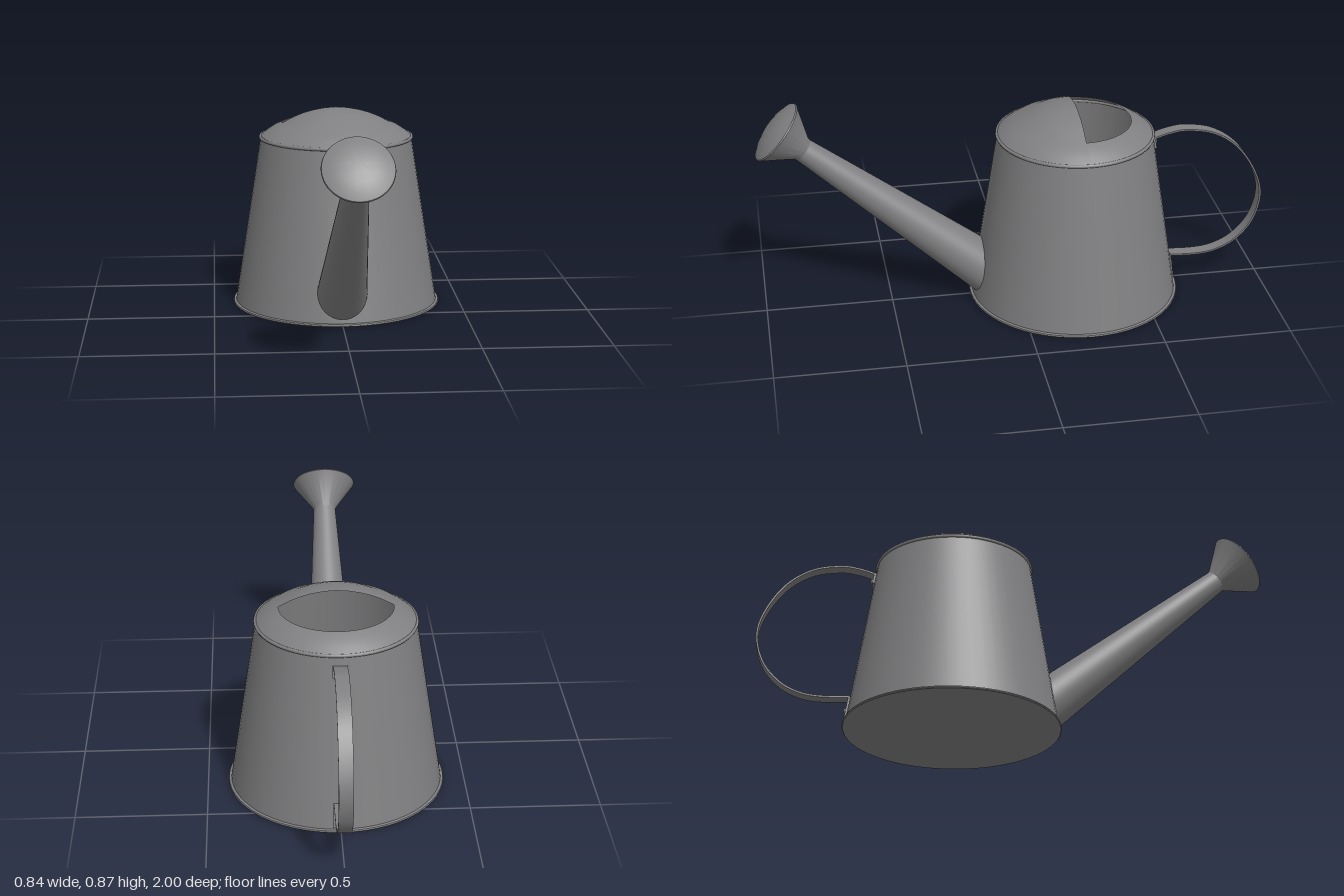
import * as THREE from 'three';
import { toCreasedNormals } from 'three/addons/utils/BufferGeometryUtils.js';

const BODY_Z = -0.235;
const SEG = 56;
const metal = new THREE.MeshStandardMaterial({ color: 0x808082, side: THREE.DoubleSide });
metal.name = 'grey metal';

// Radius of the tapered wall at height y
const wallRadius = (y) => 0.41 - (0.105 * y) / 0.68;

function part(name, geometry, parent) {
  const mesh = new THREE.Mesh(geometry, metal);
  mesh.name = name;
  parent.add(mesh);
  return mesh;
}

function lathe(points, start = 0, length = Math.PI * 2, crease = 0.6) {
  const profile = points.map(([r, y]) => new THREE.Vector2(r, y));
  const segments = Math.round((SEG * length) / (Math.PI * 2));
  return toCreasedNormals(new THREE.LatheGeometry(profile, segments, start, length), crease);
}

// Flat strip of constant width following a path of [z, y] points
function strip(points, width, thickness) {
  const n = points.length;
  const side = (sign) => points.map((p, i) => {
    const t = points[Math.min(i + 1, n - 1)].clone().sub(points[Math.max(i - 1, 0)]).normalize();
    return new THREE.Vector2(p.x - sign * t.y * thickness / 2, p.y + sign * t.x * thickness / 2);
  });
  const shape = new THREE.Shape([...side(1), ...side(-1).reverse()]);
  const geometry = new THREE.ExtrudeGeometry(shape, { depth: width, bevelEnabled: false });
  geometry.rotateY(-Math.PI / 2).translate(width / 2, 0, 0);
  return toCreasedNormals(geometry, 0.5);
}

function createCan() {
  const can = new THREE.Group();
  can.name = 'can';
  can.position.z = BODY_Z;
  part('wall', lathe([[0.41, 0.01], [0.305, 0.68]]), can);
  part('base', lathe([[0, 0], [0.418, 0], [0.421, 0.004], [0.419, 0.009], [0.408, 0.012]]), can);
  const rim = part('topRim', new THREE.TorusGeometry(0.305, 0.007, 8, SEG), can);
  rim.rotation.x = Math.PI / 2;
  rim.position.y = 0.682;

  // Domed lid: complete in front, only an outer ring behind the filling hole
  const ring = [[0.307, 0.684], [0.28, 0.705], [0.25, 0.724], [0.218, 0.738]];
  const crown = [[0.17, 0.763], [0.13, 0.779], [0.09, 0.79], [0.045, 0.798], [0, 0.801]];
  part('lidFront', lathe([...ring, ...crown], -Math.PI / 2, Math.PI), can);
  part('lidBack', lathe(ring, Math.PI / 2, Math.PI), can);
  return can;
}

function createSpout() {
  const spout = new THREE.Group();
  spout.name = 'spout';
  const base = new THREE.Vector3(0, 0.04, 0.03);
  const neck = new THREE.Vector3(0, 0.695, 0.825);
  const axis = neck.clone().sub(base).normalize();
  const length = base.distanceTo(neck);
  const turn = new THREE.Quaternion().setFromUnitVectors(new THREE.Vector3(0, 1, 0), axis);

  // Tapered tube whose lower end is trimmed to the curved wall
  const tube = new THREE.CylinderGeometry(0.046, 0.106, length, 40, 1, true);
  tube.applyQuaternion(turn);
  const mid = base.clone().add(neck).multiplyScalar(0.5);
  tube.translate(mid.x, mid.y, mid.z);
  const pos = tube.attributes.position;
  const half = pos.count / 2;
  const p = new THREE.Vector3();
  for (let i = 0; i < half; i++) {
    const top = new THREE.Vector3().fromBufferAttribute(pos, i);
    const low = new THREE.Vector3().fromBufferAttribute(pos, i + half);
    let a = 0, b = 1;
    for (let k = 0; k < 24; k++) {
      const t = (a + b) / 2;
      p.lerpVectors(low, top, t);
      if (Math.hypot(p.x, p.z - BODY_Z) < wallRadius(p.y)) a = t; else b = t;
    }
    pos.setXYZ(i + half, p.x, p.y, p.z);
  }
  part('spoutTube', tube, spout);

  // Flared sprinkler head with a gently domed face
  const rose = part('sprinklerHead', lathe([
    [0.046, -0.005], [0.05, 0.008], [0.124, 0.114], [0.129, 0.121], [0.127, 0.126],
    [0.1, 0.138], [0.065, 0.148], [0.03, 0.153], [0, 0.154],
  ]), spout);
  rose.quaternion.setFromUnitVectors(new THREE.Vector3(0, 1, 0), new THREE.Vector3(0, 0.645, 0.765).normalize());
  rose.position.copy(neck);
  return spout;
}

function createHandle() {
  const handle = new THREE.Group();
  handle.name = 'handle';
  const arc = new THREE.SplineCurve([
    [-0.549, 0.642], [-0.61, 0.66], [-0.68, 0.668], [-0.79, 0.647], [-0.89, 0.58], [-0.965, 0.47],
    [-0.996, 0.36], [-0.968, 0.245], [-0.9, 0.163], [-0.82, 0.122], [-0.74, 0.11], [-0.634, 0.113],
  ].map(([z, y]) => new THREE.Vector2(z, y)));
  part('grip', strip(arc.getPoints(66), 0.053, 0.007), handle);

  // Riveted tabs lying against the wall
  for (const [name, low, high] of [['upperTab', 0.6, 0.645], ['lowerTab', 0.02, 0.114]]) {
    const onWall = (y, out) => new THREE.Vector2(BODY_Z - wallRadius(y) - out, y);
    part(name, strip([onWall(low, 0.003), onWall(high, 0.003)], 0.056, 0.009), handle);
    const y = (low + high) / 2 - 0.004;
    const spot = onWall(y, 0.009);
    const rivet = part(name + 'Rivet', new THREE.SphereGeometry(0.011, 14, 8), handle);
    rivet.position.set(0, spot.y, spot.x);
    rivet.scale.z = 0.7;
  }
  return handle;
}

export function createModel() {
  const model = new THREE.Group();
  model.name = 'wateringCan';
  model.add(createCan(), createSpout(), createHandle());
  return model;
}
